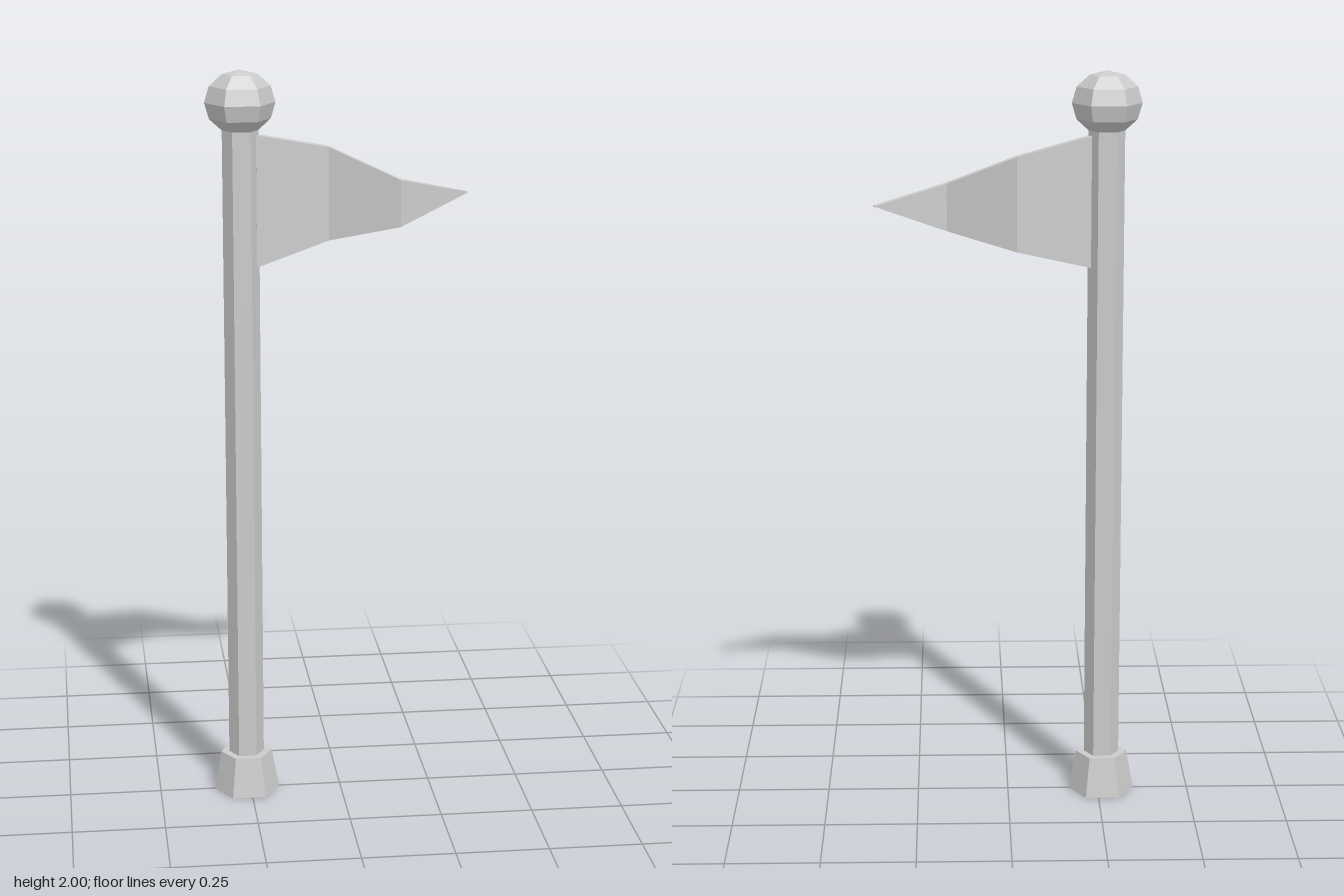
import * as THREE from 'three';

const material = new THREE.MeshStandardMaterial({ color: 0xcccccc, flatShading: true });
const POLE_X = -0.26;

// Hexagonal part centred on the pole axis, with corners pointing to +x and -x
function hexPart(name, topRadius, bottomRadius, y0, y1) {
  const geometry = new THREE.CylinderGeometry(topRadius, bottomRadius, y1 - y0, 6);
  geometry.rotateY(Math.PI / 2);
  geometry.translate(POLE_X, (y0 + y1) / 2, 0);
  const mesh = new THREE.Mesh(geometry, material);
  mesh.name = name;
  return mesh;
}

// Zigzag pennant: four-cornered sections joined from the pole to the tip
function pennant() {
  // [x front, x back, z front, z back, top, bottom]
  const sections = [
    [-0.22, -0.22, 0.015, -0.017, 1.83, 1.48],
    [-0.022, -0.022, -0.053, -0.085, 1.785, 1.535],
    [0.161, 0.161, 0.016, -0.017, 1.705, 1.58],
    [0.353, 0.347, -0.063, -0.077, 1.657, 1.655],
  ];
  const positions = [];
  for (const [xf, xb, zf, zb, top, bottom] of sections) {
    positions.push(xf, top, zf, xf, bottom, zf, xb, bottom, zb, xb, top, zb);
  }
  const index = [];
  const quad = (a, b, c, d) => index.push(a, b, c, a, c, d);
  const last = (sections.length - 1) * 4;
  for (let s = 0; s < last; s += 4) {
    for (let k = 0; k < 4; k++) {
      const n = (k + 1) % 4;
      quad(s + k, s + n, s + 4 + n, s + 4 + k);
    }
  }
  quad(0, 3, 2, 1);
  quad(last, last + 1, last + 2, last + 3);

  const indexed = new THREE.BufferGeometry();
  indexed.setAttribute('position', new THREE.Float32BufferAttribute(positions, 3));
  indexed.setIndex(index);
  const geometry = indexed.toNonIndexed();
  geometry.computeVertexNormals();
  const mesh = new THREE.Mesh(geometry, material);
  mesh.name = 'pennant';
  return mesh;
}

export function createModel() {
  const group = new THREE.Group();
  group.name = 'flagpole';

  group.add(hexPart('base', 0.07, 0.09, 0, 0.11));
  group.add(hexPart('pole', 0.048, 0.048, 0.05, 1.88));

  // Ball on top, slightly flattened
  const ball = new THREE.Mesh(new THREE.SphereGeometry(0.093, 6, 6), material);
  ball.name = 'finial';
  ball.scale.y = 0.914;
  ball.position.set(POLE_X, 1.915, 0);
  group.add(ball);

  group.add(pennant());
  return group;
}
